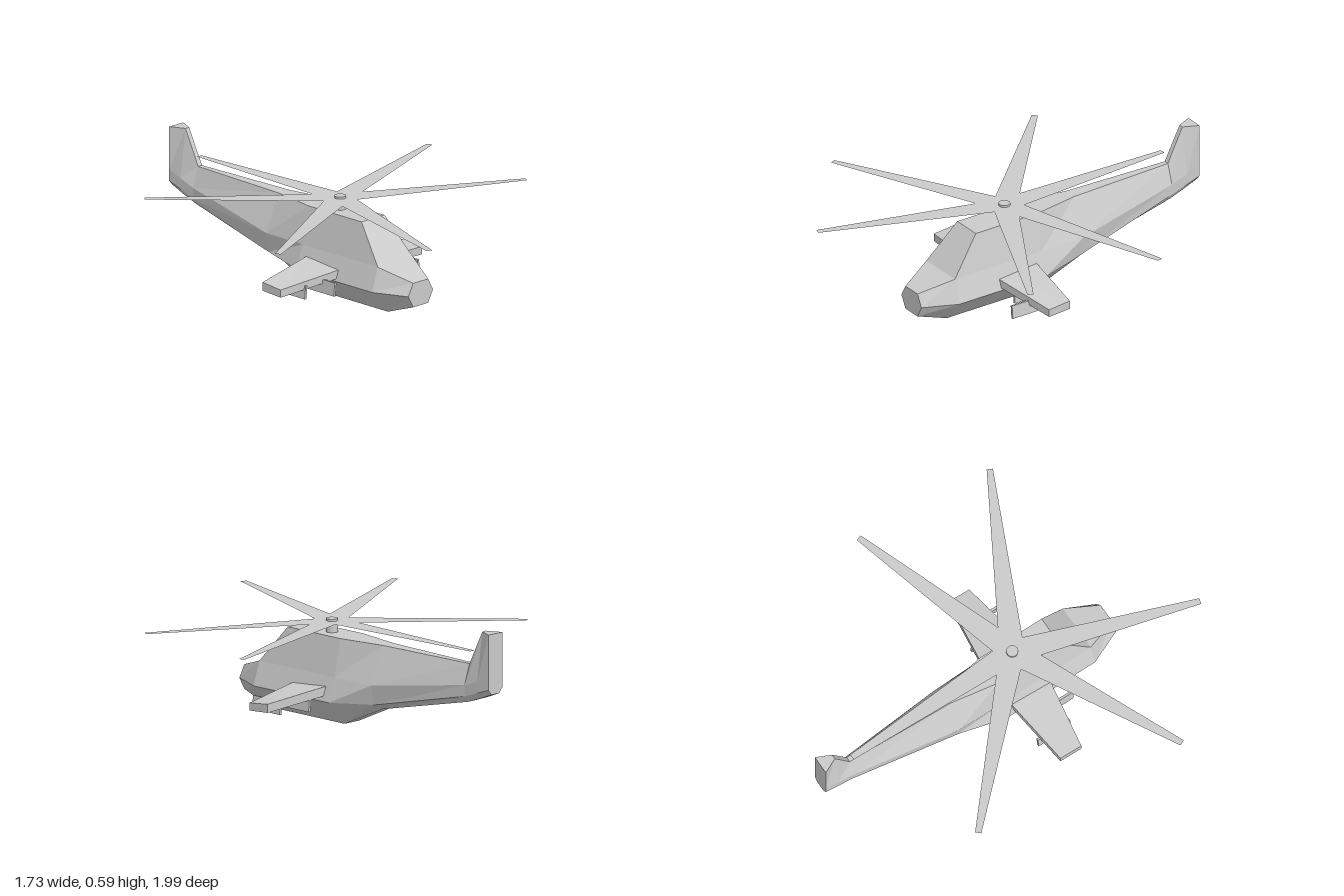
import * as THREE from 'three';

const grey = new THREE.MeshStandardMaterial({ color: 0xcccccc, flatShading: true });
const thin = new THREE.MeshStandardMaterial({ color: 0xcccccc, flatShading: true, side: THREE.DoubleSide });

// Skin a row of equal-length rings (Vector3[][]) and cap both ends.
// Rings run counter-clockwise as seen from the first ring's outer side.
function loft(rings) {
  const pos = [];
  const tri = (a, b, c) => {
    const area = b.clone().sub(a).cross(c.clone().sub(a)).length();
    if (area > 1e-8) for (const p of [a, b, c]) pos.push(p.x, p.y, p.z);
  };
  const n = rings[0].length;
  for (let i = 0; i < rings.length - 1; i++) {
    for (let j = 0; j < n; j++) {
      const k = (j + 1) % n, f = rings[i], b = rings[i + 1];
      tri(f[j], b[j], b[k]);
      tri(f[j], b[k], f[k]);
    }
  }
  const first = rings[0], last = rings[rings.length - 1];
  for (let j = 1; j < n - 1; j++) {
    tri(first[0], first[j], first[j + 1]);
    tri(last[0], last[j + 1], last[j]);
  }
  const g = new THREE.BufferGeometry();
  g.setAttribute('position', new THREE.Float32BufferAttribute(pos, 3));
  g.computeVertexNormals();
  return g;
}

function add(parent, name, geometry, material = grey) {
  const mesh = new THREE.Mesh(geometry, material);
  mesh.name = name;
  parent.add(mesh);
  return mesh;
}

// Fuselage, tail boom and fin: z, then half-width and height of
// keel, waist, shoulder and roof
const SECTIONS = [
  [0.64, [0.05, 0.06], [0.083, 0.12], [0.05, 0.18], [0.05, 0.18]],
  [0.47, [0.05, 0], [0.157, 0.12], [0.118, 0.237], [0.118, 0.237]],
  [0.32, [0.05, 0], [0.157, 0.12], [0.118, 0.237], [0.077, 0.42]],
  [-0.035, [0.05, 0], [0.157, 0.12], [0.118, 0.237], [0.077, 0.42]],
  [-0.28, [0.04, 0.11], [0.1, 0.14], [0.115, 0.237], [0.035, 0.42]],
  [-0.84, [0.025, 0.235], [0.045, 0.265], [0.047, 0.32], [0.013, 0.42]],
  [-0.925, [0.025, 0.265], [0.046, 0.295], [0.047, 0.35], [0.012, 0.59]],
  [-1, [0.025, 0.295], [0.047, 0.32], [0.047, 0.375], [0.047, 0.59]],
];

function fuselage() {
  return loft(SECTIONS.map(([z, ...pts]) => [
    ...pts.map(([x, y]) => new THREE.Vector3(x, y, z)),
    ...pts.slice().reverse().map(([x, y]) => new THREE.Vector3(-x, y, z)),
  ]));
}

function wing(side) {
  const ring = (x, pts) => pts.map(([z, y]) => new THREE.Vector3(side * x, y, z));
  const tip = ring(0.477, [[0.175, 0.1], [0.055, 0.108], [0.055, 0.15], [0.175, 0.138]]);
  const root = ring(0.09, [[0.235, 0.137], [0, 0.15], [0, 0.195], [0.235, 0.178]]);
  return loft(side > 0 ? [tip, root] : [root, tip]);
}

export function createModel() {
  const model = new THREE.Group();
  model.name = 'helicopter';
  const craft = new THREE.Group();
  craft.name = 'airframe';
  craft.position.x = -0.022;
  model.add(craft);

  add(craft, 'fuselage', fuselage());

  // Stub wings
  add(craft, 'leftWing', wing(1));
  add(craft, 'rightWing', wing(-1));

  // Slim weapon rails below the wings, staggered fore and aft
  for (const [x, y, z] of [
    [-0.335, 0.1, 0.112], [-0.228, 0.11, 0.2],
    [0.228, 0.11, 0.112], [0.335, 0.1, 0.2],
  ]) {
    const rail = add(craft, 'weaponRail', new THREE.BoxGeometry(0.012, 0.066, 0.185));
    rail.position.set(x, y, z);
    rail.rotation.z = Math.sign(x) * 0.1;
  }

  // Rotor: hub and six flat tapered blades in three pairs
  const rotor = new THREE.Group();
  rotor.name = 'mainRotor';
  rotor.position.set(0, 0, 0.1);
  craft.add(rotor);
  const hub = add(rotor, 'rotorHub', new THREE.CylinderGeometry(0.029, 0.029, 0.075, 12));
  hub.position.y = 0.448;

  const outline = new THREE.Shape([[0, -0.06], [0.93, -0.015], [0.93, 0.015], [0, 0.06]]
    .map(([x, y]) => new THREE.Vector2(x, y)));
  const bladeGeometry = new THREE.ShapeGeometry(outline).rotateX(-Math.PI / 2);
  for (const angle of [-136, -91, -17.7, 27.4, 108, 153.7]) {
    const blade = add(rotor, 'rotorBlade', bladeGeometry, thin);
    blade.position.y = 0.475;
    blade.rotation.y = -THREE.MathUtils.degToRad(angle);
  }
  return model;
}
